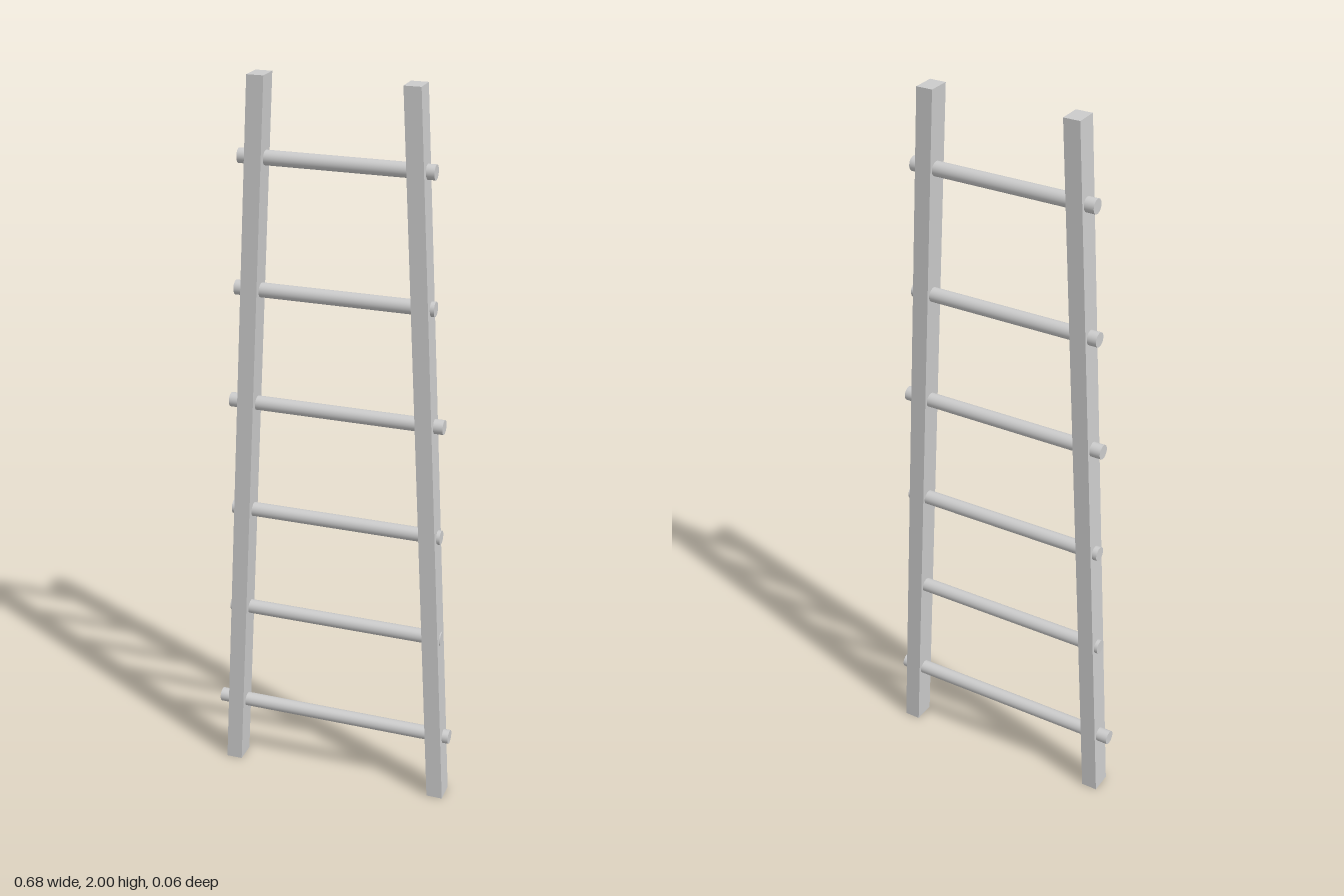
import * as THREE from 'three';

const material = new THREE.MeshStandardMaterial({ color: 0xcccccc });
const HEIGHT = 2;

// Square rail sheared sideways, so its ends stay level
function makeRail(name, bottomX, topX) {
  const geometry = new THREE.BoxGeometry(0.045, HEIGHT, 0.061);
  geometry.translate(0, HEIGHT / 2, 0);
  const pos = geometry.attributes.position;
  for (let i = 0; i < pos.count; i++) {
    const t = pos.getY(i) / HEIGHT;
    pos.setX(i, pos.getX(i) + THREE.MathUtils.lerp(bottomX, topX, t));
  }
  geometry.computeVertexNormals();
  const rail = new THREE.Mesh(geometry, material);
  rail.name = name;
  return rail;
}

// Round rung running through both rails
function makeRung(y, x0, x1) {
  const geometry = new THREE.CylinderGeometry(0.0195, 0.0195, x1 - x0, 32);
  geometry.rotateZ(Math.PI / 2);
  const rung = new THREE.Mesh(geometry, material);
  rung.position.set((x0 + x1) / 2, y, -0.004);
  return rung;
}

export function createModel() {
  const ladder = new THREE.Group();
  ladder.name = 'ladder';

  ladder.add(makeRail('rightRail', -0.297, -0.193));
  ladder.add(makeRail('leftRail', 0.312, 0.209));

  // Height, right end and left end of each rung
  const rungs = [
    [0.186, -0.342, 0.342],
    [0.495, -0.303, 0.311],
    [0.802, -0.291, 0.302],
    [1.12, -0.291, 0.302],
    [1.438, -0.27, 0.271],
    [1.788, -0.253, 0.264],
  ];
  rungs.forEach(([y, x0, x1], i) => {
    const rung = makeRung(y, x0, x1);
    rung.name = `rung${i + 1}`;
    ladder.add(rung);
  });

  return ladder;
}
